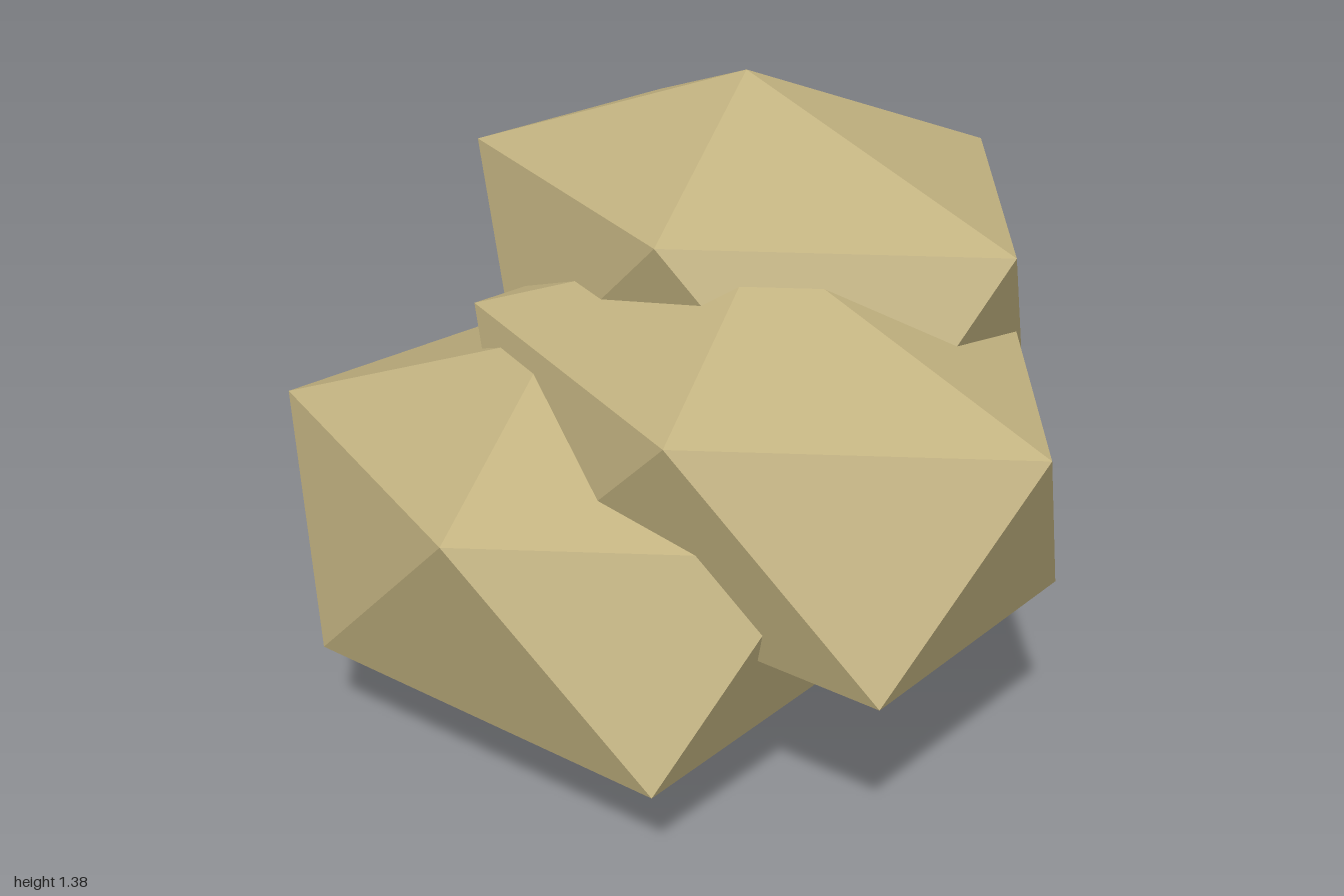
import * as THREE from 'three';

// One faceted boulder: crown, five shoulder corners, five lower corners, base.
function boulderGeometry() {
  const crown = [0, 0.9, 0];
  const base = [0, 0, 0];
  // rings run counter-clockwise seen from above
  const upper = [
    [0.79, 0.67, 0], [0.26, 0.685, -0.52], [-0.61, 0.66, -0.295],
    [-0.61, 0.66, 0.295], [0.26, 0.68, 0.52],
  ];
  const lower = [
    [0.61, 0.22, -0.29], [-0.21, 0.24, -0.43], [-0.87, 0.19, 0],
    [-0.24, 0.217, 0.49], [0.67, 0.2, 0.33],
  ];
  const corners = [];
  for (let i = 0; i < 5; i++) {
    const j = (i + 1) % 5;
    corners.push(
      crown, upper[i], upper[j],
      upper[i], lower[i], upper[j],
      lower[i], lower[j], upper[j],
      base, lower[j], lower[i],
    );
  }
  const geometry = new THREE.BufferGeometry();
  geometry.setAttribute('position', new THREE.Float32BufferAttribute(corners.flat(), 3));
  geometry.computeVertexNormals();
  return geometry;
}

export function createModel() {
  const group = new THREE.Group();
  group.name = 'rockPile';
  const sandstone = new THREE.MeshStandardMaterial({ color: 0xc2b280, flatShading: true });
  sandstone.name = 'sandstone';
  const geometry = boulderGeometry();

  // Three overlapping boulders stepping up towards the back
  const boulders = [
    ['lowerBoulder', -0.13, 0, 0.29],
    ['middleBoulder', 0.21, 0.24, 0],
    ['upperBoulder', -0.13, 0.48, -0.29],
  ];
  for (const [name, x, y, z] of boulders) {
    const boulder = new THREE.Mesh(geometry, sandstone);
    boulder.name = name;
    boulder.position.set(x, y, z);
    group.add(boulder);
  }
  return group;
}
